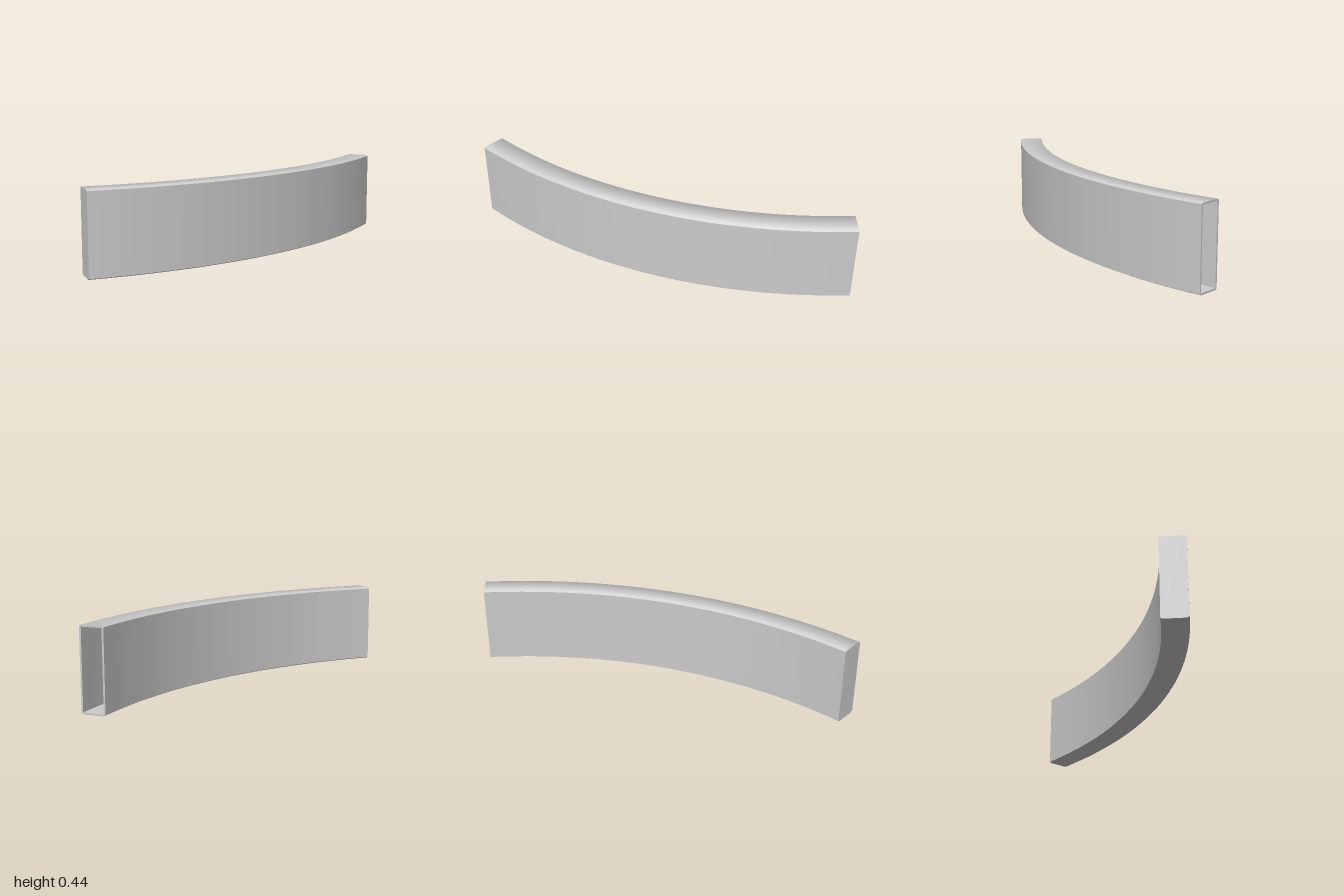
import * as THREE from 'three';

const R = 2.65, X0 = 0.378, Z0 = -1, STRAIGHT = 0.08, TURN = Math.PI / 4;
const HW = 0.067, H = 0.44, DX = 0.012, DY = 0.006, WALL = 0.01, SEG = 32;

const material = new THREE.MeshStandardMaterial({ color: 0xcccccc, side: THREE.DoubleSide });

// Stations along the path: a short straight, then an arc
const stations = [{ x: X0, z: Z0, a: 0 }];
for (let i = 0; i <= SEG; i++) {
  const a = TURN * i / SEG;
  stations.push({ x: X0 - R * (1 - Math.cos(a)), z: Z0 + STRAIGHT + R * Math.sin(a), a });
}

// Sweeps one profile edge p -> q along the path; np and nq are its normals
function strip(name, p, q, np, nq) {
  const pos = [], nor = [], idx = [];
  stations.forEach(({ x, z, a }, i) => {
    const c = Math.cos(a), s = Math.sin(a);
    for (const [pt, n] of [[p, np], [q, nq]]) {
      pos.push(x + c * pt[0], pt[1], z + s * pt[0]);
      const l = Math.hypot(n[0], n[1]);
      nor.push(c * n[0] / l, n[1] / l, s * n[0] / l);
    }
    if (i) {
      const k = 2 * (i - 1);
      idx.push(k, k + 1, k + 3, k, k + 3, k + 2);
    }
  });
  const g = new THREE.BufferGeometry();
  g.setAttribute('position', new THREE.Float32BufferAttribute(pos, 3));
  g.setAttribute('normal', new THREE.Float32BufferAttribute(nor, 3));
  g.setIndex(idx);
  const m = new THREE.Mesh(g, material);
  m.name = name;
  return m;
}

export function createModel() {
  const group = new THREE.Group();
  group.name = 'curvedTube';

  // Outer profile, counterclockwise: a tall rectangle with small bevels
  const outer = [
    [HW, DY], [HW, H - DY], [HW - DX, H], [-HW + DX, H],
    [-HW, H - DY], [-HW, DY], [-HW + DX, 0], [HW - DX, 0],
  ];
  const names = ['outerSide', 'topOuterBevel', 'top', 'topInnerBevel',
    'innerSide', 'bottomInnerBevel', 'bottom', 'bottomOuterBevel'];
  outer.forEach((p, i) => {
    const q = outer[(i + 1) % 8];
    const flat = [q[1] - p[1], p[0] - q[0]];
    // Bevels and top/bottom share softened normals, the sides stay flat
    const soft = (v) => [0.5 * Math.sign(v[0]), v[1] > H / 2 ? 0.86 : -0.86];
    const side = i % 4 === 0;
    group.add(strip(names[i], p, q, side ? flat : soft(p), side ? flat : soft(q)));
  });

  // Inner walls, facing into the hollow
  const w = HW - WALL;
  const inner = [[w, WALL], [-w, WALL], [-w, H - WALL], [w, H - WALL]];
  inner.forEach((p, i) => {
    const q = inner[(i + 1) % 4];
    const n = [q[1] - p[1], p[0] - q[0]];
    group.add(strip('innerWall', p, q, n, n));
  });

  // Closed front end
  const toShape = (pts) => new THREE.Shape(pts.map((p) => new THREE.Vector2(p[0], p[1])));
  const end = stations[stations.length - 1];
  const cap = new THREE.Mesh(new THREE.ShapeGeometry(toShape(outer)), material);
  cap.name = 'frontCap';
  cap.position.set(end.x, 0, end.z);
  cap.rotation.y = -end.a;
  group.add(cap);

  // Rim of the open back end
  const rimShape = toShape(outer);
  rimShape.holes.push(toShape(inner));
  const rim = new THREE.Mesh(new THREE.ShapeGeometry(rimShape), material);
  rim.name = 'backRim';
  rim.position.set(X0, 0, Z0);
  rim.rotation.y = Math.PI;
  group.add(rim);

  return group;
}
